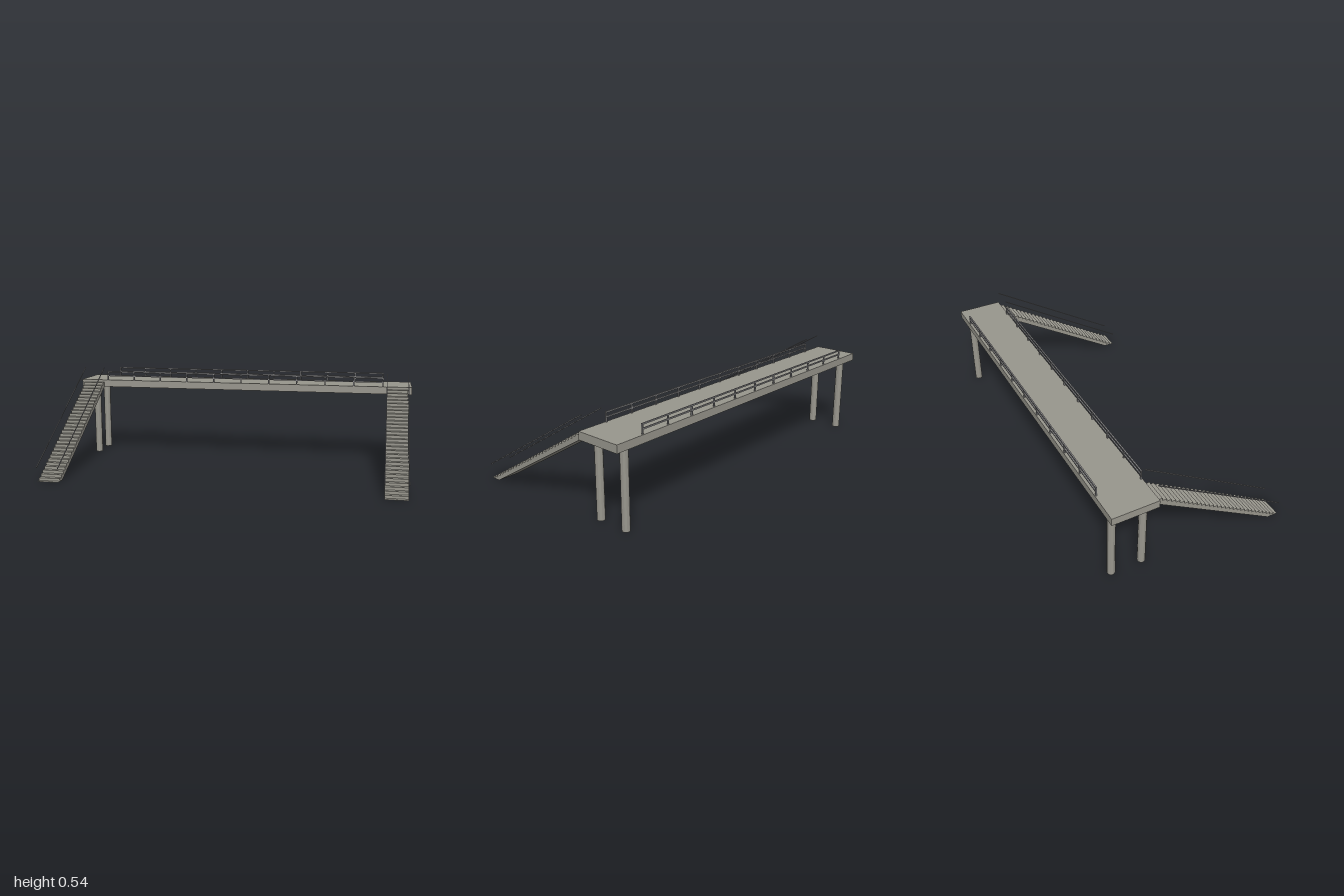
import * as THREE from 'three';

export function createModel() {
  const model = new THREE.Group();
  model.name = 'footbridge';
  const concrete = new THREE.MeshStandardMaterial({ color: 0x99978e });
  concrete.name = 'concrete grey';
  const metal = new THREE.MeshStandardMaterial({ color: 0x88888a });
  metal.name = 'rail grey';

  const add = (parent, name, geometry, material, x = 0, y = 0, z = 0) => {
    const mesh = new THREE.Mesh(geometry, material);
    mesh.name = name;
    mesh.position.set(x, y, z);
    parent.add(mesh);
    return mesh;
  };

  // Deck slab
  const deckTop = 0.46, deckBottom = 0.418, deckZ = -0.375;
  add(model, 'deck', new THREE.BoxGeometry(2, deckTop - deckBottom, 0.25), concrete,
    0, (deckTop + deckBottom) / 2, deckZ);

  // Guard rails along both long edges of the deck
  const span = 1.67, bays = 10, bar = 0.007, railTop = 0.513;
  const railGeometry = new THREE.BoxGeometry(span + bar, bar, bar);
  const postGeometry = new THREE.BoxGeometry(bar, railTop - deckTop, bar);
  for (const side of [-1, 1]) {
    const guard = new THREE.Group();
    guard.name = side > 0 ? 'frontGuardRail' : 'backGuardRail';
    guard.position.z = deckZ + side * 0.118;
    add(guard, 'topRail', railGeometry, metal, 0, railTop - bar / 2, 0);
    add(guard, 'middleRail', railGeometry, metal, 0, 0.486, 0);
    for (let i = 0; i <= bays; i++) {
      add(guard, 'post', postGeometry, metal, -span / 2 + (span * i) / bays, (railTop + deckTop) / 2, 0);
    }
    model.add(guard);
  }

  // Stair profile: shape x runs from the foot towards the deck
  const steps = 30, run = 0.025, rise = deckTop / steps, width = 0.12;
  const profile = new THREE.Shape();
  profile.moveTo(run, 0);
  for (let i = 1; i < steps; i++) {
    profile.lineTo(i * run, i * rise);
    profile.lineTo((i + 1) * run, i * rise);
  }
  profile.lineTo(steps * run, deckBottom);
  profile.lineTo(0.06, 0);
  profile.closePath();
  const stairGeometry = new THREE.ExtrudeGeometry(profile, { depth: width, bevelEnabled: false });
  stairGeometry.translate(0, 0, -width / 2).rotateY(Math.PI / 2);

  // Sloping handrail
  const railRun = 0.75, railRise = 0.457;
  const handrailGeometry = new THREE.BoxGeometry(0.004, 0.005, Math.hypot(railRun, railRise));
  handrailGeometry.rotateX(Math.atan2(railRise, railRun));

  const columnGeometry = new THREE.CylinderGeometry(0.021, 0.021, deckBottom, 12).toNonIndexed();
  columnGeometry.computeVertexNormals();

  // Stairs, handrails and columns at each end
  for (const side of [-1, 1]) {
    const end = new THREE.Group();
    end.name = side > 0 ? 'leftEnd' : 'rightEnd';
    end.position.x = side * 0.918;
    add(end, 'stairs', stairGeometry, concrete, 0, 0, 0.5);
    add(end, 'footPlate', new THREE.BoxGeometry(width, 0.001, run), concrete, 0, 0.0005, 0.5 - run / 2);
    for (const edge of [-1, 1]) {
      add(end, 'handrail', handrailGeometry, metal, edge * width / 2, 0.305, 0.125);
    }
    for (const z of [-0.29, -0.458]) {
      add(end, 'column', columnGeometry, concrete, 0, deckBottom / 2, z);
    }
    model.add(end);
  }
  return model;
}
